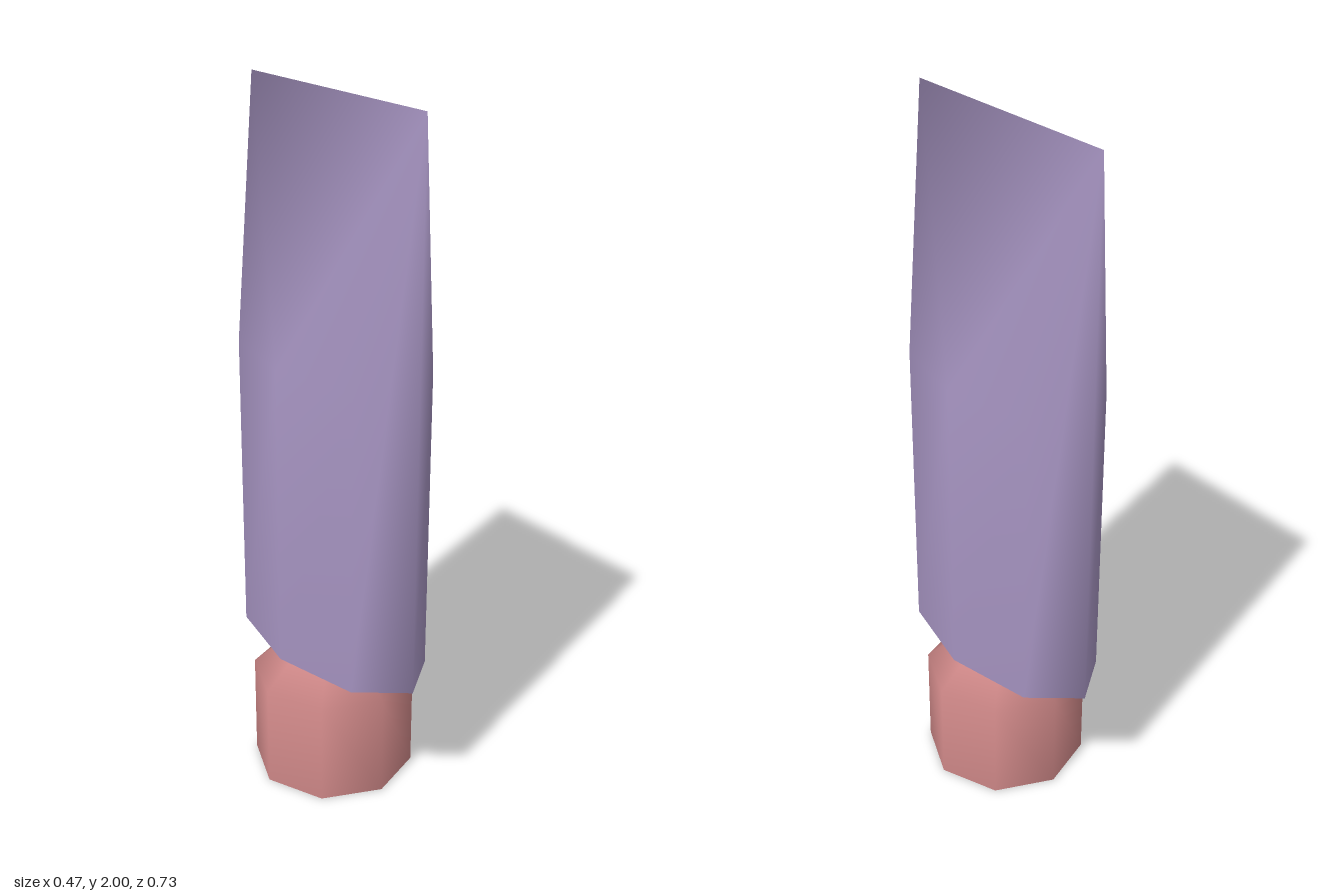
import * as THREE from 'three';

const SIDES = 8;

// Downward- or upward-facing octagonal disc, stretched to rx by rz
function disc(rx, rz, y, up) {
  const g = new THREE.CircleGeometry(1, SIDES);
  g.scale(rx, rz, 1);
  g.rotateX(up ? -Math.PI / 2 : Math.PI / 2);
  g.translate(0, y, 0);
  return g;
}

// Octagonal prism whose front and back corners rise to a ridge
function bladeGeometry(rx, rz, bottom, shoulder, tip) {
  const positions = [];
  const index = [];
  for (let level = 0; level < 2; level++) {
    for (let i = 0; i < SIDES; i++) {
      const a = (i / SIDES) * Math.PI * 2;
      const top = i % 4 === 0 ? tip : shoulder;
      positions.push(rx * Math.sin(a), level ? top : bottom, rz * Math.cos(a));
    }
  }
  // Walls
  for (let i = 0; i < SIDES; i++) {
    const j = (i + 1) % SIDES;
    index.push(i, j, SIDES + j, i, SIDES + j, SIDES + i);
  }
  // Two mirrored slopes below the ridge
  for (const start of [0, 4]) {
    const t = (k) => SIDES + ((start + k) % SIDES);
    index.push(t(0), t(1), t(2), t(0), t(2), t(4), t(2), t(3), t(4));
  }
  const g = new THREE.BufferGeometry();
  g.setAttribute('position', new THREE.Float32BufferAttribute(positions, 3));
  g.setIndex(index);
  g.computeVertexNormals();
  return g;
}

export function createModel() {
  const model = new THREE.Group();
  model.name = 'model';

  const purple = new THREE.MeshStandardMaterial({ color: 0xa593c0 });
  purple.name = 'soft purple';
  const pink = new THREE.MeshStandardMaterial({ color: 0xcf8888 });
  pink.name = 'dusty pink';

  const add = (parent, name, geometry, material) => {
    const mesh = new THREE.Mesh(geometry, material);
    mesh.name = name;
    parent.add(mesh);
  };

  // Base with a chamfered shoulder
  const base = new THREE.Group();
  base.name = 'base';
  const profile = [[0.237, 0], [0.237, 0.305], [0.13, 0.4]].map(([r, y]) => new THREE.Vector2(r, y));
  add(base, 'baseSide', new THREE.LatheGeometry(profile, SIDES), pink);
  add(base, 'baseBottom', disc(0.237, 0.237, 0, false), pink);
  add(base, 'baseTop', disc(0.13, 0.13, 0.4, true), pink);
  model.add(base);

  // Wedge-tipped blade
  const blade = new THREE.Group();
  blade.name = 'blade';
  add(blade, 'bladeBody', bladeGeometry(0.19, 0.367, 0.4, 1.285, 2), purple);
  add(blade, 'bladeBottom', disc(0.19, 0.367, 0.4, false), purple);
  model.add(blade);

  return model;
}
